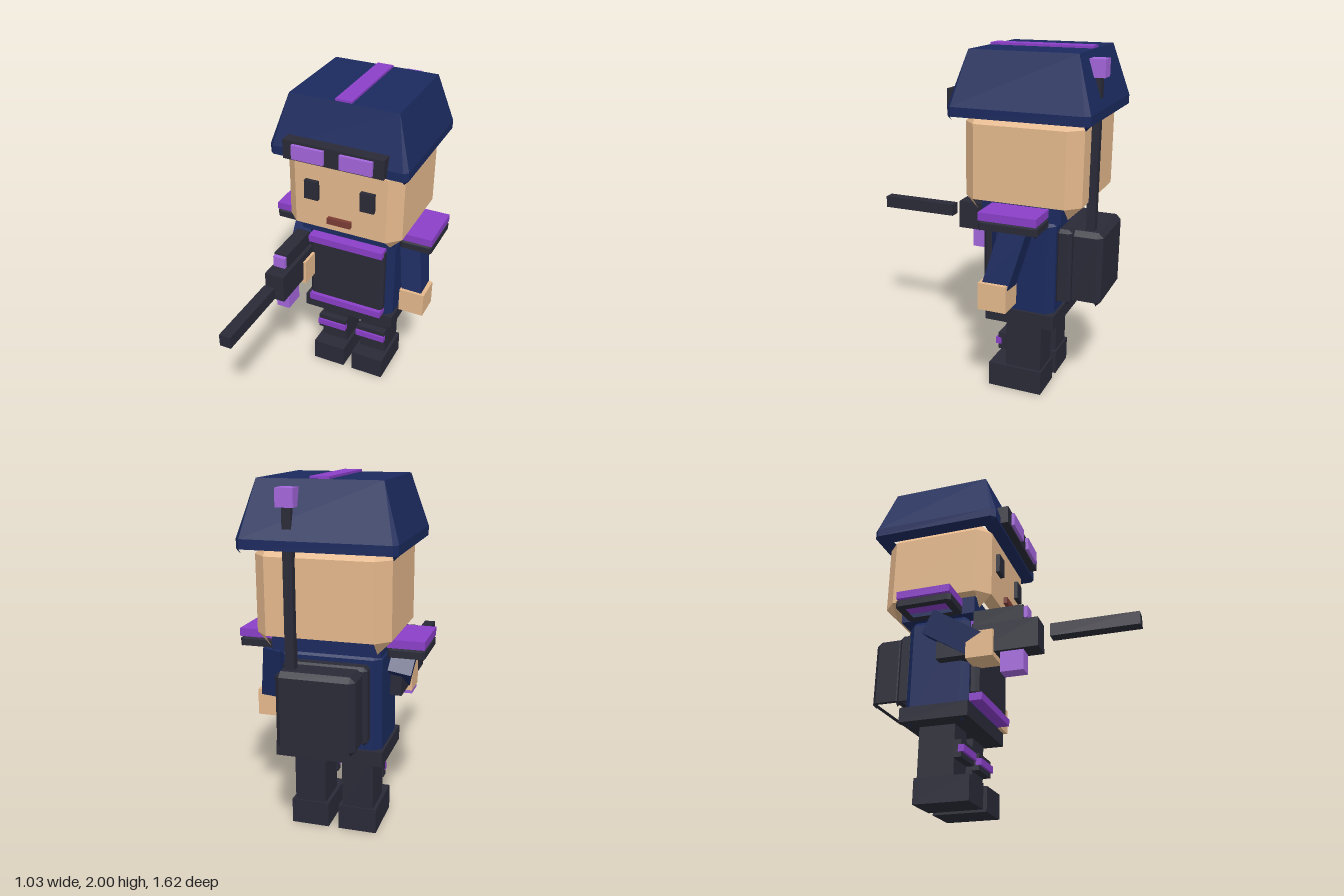
import * as THREE from 'three';

const mat = (name, color) => {
  const m = new THREE.MeshStandardMaterial({ color });
  m.name = name;
  m.flatShading = true;
  return m;
};

// Chamfered block: eight-sided rings, a sloped top, and a rimmed open underside with pointed corners.
function chamferGeometry([x0, x1], [y0, y1], [z0, z1], b, topHeight = b, inset = b) {
  const ring = (y) => [
    [x1, y, z1 - b], [x1, y, z0 + b], [x1 - b, y, z0], [x0 + b, y, z0],
    [x0, y, z0 + b], [x0, y, z1 - b], [x0 + b, y, z1], [x1 - b, y, z1],
  ];
  const rect = (y, d) => [
    [x1 - d, y, z1 - d], [x1 - d, y, z0 + d], [x0 + d, y, z0 + d], [x0 + d, y, z1 - d],
  ];
  const low = ring(y0 + b), high = ring(y1 - topHeight);
  const tip = rect(y0, b), rim = rect(y0 + b, inset), top = rect(y1, inset);
  const out = [];
  const tri = (p, q, r) => out.push(...p, ...q, ...r);
  const quad = (p, q, r, s) => { tri(p, q, r); tri(p, r, s); };
  for (let k = 0; k < 4; k++) {
    const n = (k + 1) % 4, i = 2 * k, j = i + 1, c = (i + 2) % 8;
    // flat side with its top slope and underside rim
    quad(low[i], low[j], high[j], high[i]);
    quad(high[i], high[j], top[n], top[k]);
    quad(rim[k], rim[n], low[j], low[i]);
    // cut corner
    quad(low[j], low[c], high[c], high[j]);
    tri(high[j], high[c], top[n]);
    tri(low[c], low[j], rim[n]);
    tri(low[c], low[j], tip[n]);
  }
  quad(top[0], top[1], top[2], top[3]);
  const g = new THREE.BufferGeometry();
  g.setAttribute('position', new THREE.Float32BufferAttribute(out, 3));
  g.computeVertexNormals();
  return g;
}

export function createModel() {
  const model = new THREE.Group();
  model.name = 'soldier';
  const navy = mat('navy cloth', 0x1b2a5e);
  const dark = mat('dark gear', 0x2a2a38);
  const purple = mat('purple trim', 0x8a3fc8);
  const lilac = mat('lilac accent', 0xa366dc);
  const skin = mat('skin', 0xe4b88c);
  const red = mat('mouth red', 0x7a3c34);

  const add = (name, geometry, material) => {
    const mesh = new THREE.Mesh(geometry, material);
    mesh.name = name;
    model.add(mesh);
    return mesh;
  };
  // Boxes are given by their ranges on each axis.
  const box = (name, material, x, y, z) => {
    const mesh = add(name, new THREE.BoxGeometry(x[1] - x[0], y[1] - y[0], z[1] - z[0]), material);
    mesh.position.set((x[0] + x[1]) / 2, (y[0] + y[1]) / 2, (z[0] + z[1]) / 2);
    return mesh;
  };
  const chamfer = (name, material, x, y, z, ...bevel) =>
    add(name, chamferGeometry(x, y, z, ...bevel), material);
  const side = (s, a, b) => (s > 0 ? [a, b] : [-b, -a]);

  // Mirrored parts
  for (const s of [-1, 1]) {
    const n = s > 0 ? 'left' : 'right';
    box(n + 'Boot', dark, side(s, 0.03, 0.25), [0, 0.145], [-0.49, -0.165]);
    box(n + 'Leg', dark, side(s, 0.05, 0.23), [0.145, 0.44], [-0.48, -0.265]);
    box(n + 'KneePad', dark, side(s, 0.042, 0.238), [0.245, 0.345], [-0.27, -0.22]);
    box(n + 'KneeStripe', purple, side(s, 0.04, 0.24), [0.275, 0.315], [-0.24, -0.205]);
    chamfer(n + 'ShoulderPad', dark, side(s, 0.315, 0.515), [1.055, 1.13], [-0.54, -0.205], 0.015, 0.022, 0.045);
    box(n + 'ShoulderPlate', purple, side(s, 0.315, 0.515), [1.12, 1.165], [-0.535, -0.21]);
    box(n + 'Eye', dark, side(s, 0.133, 0.22), [1.375, 1.495], [-0.045, -0.015]);
    box(n + 'Lens', lilac, side(s, 0.048, 0.243), [1.67, 1.755], [0.05, 0.085]);
  }

  // Torso, vest and belt
  chamfer('torso', navy, [-0.29, 0.29], [0.44, 1.09], [-0.56, -0.18], 0.04);
  box('belt', dark, [-0.305, 0.305], [0.455, 0.54], [-0.575, -0.165]);
  chamfer('vestPlate', dark, [-0.25, 0.25], [0.59, 1.05], [-0.19, -0.125], 0.02);
  box('vestTopStripe', purple, [-0.245, 0.245], [1.01, 1.055], [-0.18, -0.105]);
  box('vestBottomStripe', purple, [-0.245, 0.245], [0.56, 0.605], [-0.18, -0.105]);
  box('collar', navy, [-0.3, 0.3], [1.08, 1.19], [-0.6, -0.14]);

  // Head and face
  chamfer('head', skin, [-0.365, 0.365], [1.11, 1.675], [-0.71, -0.04], 0.075);
  box('mouth', red, [-0.075, 0.075], [1.235, 1.275], [-0.045, -0.015]);

  // Helmet with goggles and crest
  chamfer('helmet', navy, [-0.42, 0.42], [1.615, 1.987], [-0.767, 0.018], 0.025, 0.295, 0.092);
  box('crest', purple, [-0.05, 0.05], [1.96, 2], [-0.665, -0.08]);
  box('goggleBand', dark, [-0.305, 0.305], [1.655, 1.77], [-0.04, 0.065]);

  // Backpack and aerial
  chamfer('packFrame', dark, [-0.235, 0.235], [0.59, 1.03], [-0.64, -0.55], 0.02);
  chamfer('backpack', dark, [-0.215, 0.215], [0.595, 1.025], [-0.807, -0.62], 0.028);
  box('aerial', dark, [0.12, 0.17], [1, 1.86], [-0.75, -0.7]);
  box('aerialTip', lilac, [0.098, 0.193], [1.855, 1.95], [-0.775, -0.682]);

  // Arms run between shoulder and hand
  const arm = (name, from, to) => {
    const a = new THREE.Vector3(...from), b = new THREE.Vector3(...to);
    const mesh = add(name, new THREE.BoxGeometry(0.13, a.distanceTo(b), 0.15), navy);
    mesh.position.copy(a).add(b).multiplyScalar(0.5);
    mesh.quaternion.setFromUnitVectors(new THREE.Vector3(0, 1, 0), a.clone().sub(b).normalize());
  };
  arm('leftArm', [0.355, 1.04, -0.37], [0.412, 0.71, -0.285]);
  arm('rightArm', [-0.365, 1.01, -0.38], [-0.3, 0.85, -0.1]);
  box('leftHand', skin, [0.335, 0.495], [0.6, 0.755], [-0.365, -0.2]);
  box('rightHand', skin, [-0.375, -0.215], [0.76, 0.92], [-0.16, 0]);

  // Blaster
  box('blasterBody', dark, [-0.355, -0.232], [0.79, 0.965], [-0.125, 0.255]);
  box('blasterStock', dark, [-0.355, -0.235], [0.79, 0.96], [-0.345, -0.125]);
  box('blasterTop', dark, [-0.335, -0.25], [0.975, 1.065], [-0.13, 0.165]);
  box('blasterSight', lilac, [-0.33, -0.255], [0.985, 1.055], [0.14, 0.19]);
  box('blasterMagazine', lilac, [-0.335, -0.25], [0.67, 0.8], [0.032, 0.165]);
  box('blasterBarrel', dark, [-0.327, -0.257], [0.85, 0.925], [0.315, 0.81]);
  return model;
}
